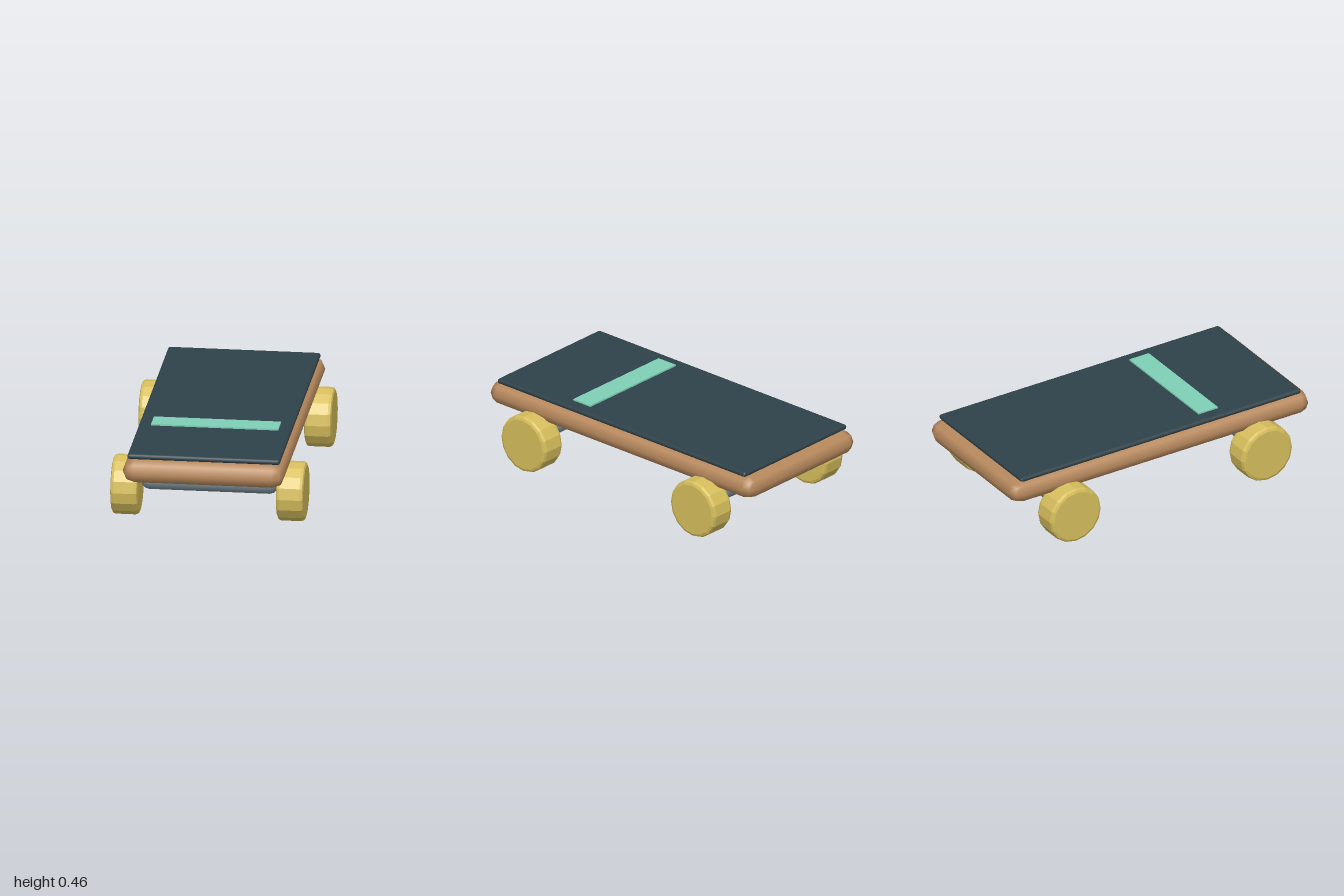
import * as THREE from 'three';
import { RoundedBoxGeometry } from 'three/addons/geometries/RoundedBoxGeometry.js';

const material = (name, color) => {
  const m = new THREE.MeshStandardMaterial({ color });
  m.name = name;
  return m;
};

// Solid of revolution along x, with rounded rims
function roundedCylinder(radius, length, bevel, steps, sides, flat) {
  const half = length / 2;
  const points = [new THREE.Vector2(0, -half)];
  for (const side of [-1, 1]) {
    for (let i = 0; i <= steps; i++) {
      const t = (side < 0 ? i : steps - i) / steps * Math.PI / 2;
      points.push(new THREE.Vector2(
        radius - bevel + bevel * Math.sin(t),
        side * (half - bevel + bevel * Math.cos(t))));
    }
  }
  points.push(new THREE.Vector2(0, half));
  let geometry = new THREE.LatheGeometry(points, sides);
  geometry.rotateZ(-Math.PI / 2);
  if (flat) {
    geometry = geometry.toNonIndexed();
    geometry.computeVertexNormals();
  }
  return geometry;
}

export function createModel() {
  const model = new THREE.Group();
  model.name = 'skateboard';

  const wood = material('wood', 0xb98a5e);
  const gripDark = material('dark grip', 0x2f4249);
  const mint = material('mint', 0x7fcfb5);
  const metal = material('grey metal', 0x7c8e98);
  const yellow = material('yellow wheel', 0xd6be5c);

  const add = (name, geometry, mat, x, y, z) => {
    const mesh = new THREE.Mesh(geometry, mat);
    mesh.name = name;
    mesh.position.set(x, y, z);
    model.add(mesh);
  };

  // Board, grip sheet and stripe
  add('deck', new RoundedBoxGeometry(0.92, 0.136, 2, 1, 0.067), wood, 0, 0.353, 0);
  add('gripSheet', new RoundedBoxGeometry(0.87, 0.03, 1.88, 1, 0.0145), gripDark, 0, 0.435, 0);
  add('stripe', new THREE.BoxGeometry(0.724, 0.009, 0.13), mint, 0, 0.4545, 0.36);

  // Axles with a wheel at each end
  const axle = roundedCylinder(0.067, 0.776, 0.045, 3, 24, false);
  const wheel = roundedCylinder(0.17, 0.155, 0.02, 2, 16, true);
  for (const [end, z] of [['front', 0.642], ['back', -0.642]]) {
    add(end + 'Axle', axle, metal, 0, 0.217, z);
    for (const [side, sx] of [['Left', 1], ['Right', -1]]) {
      add(end + side + 'Wheel', wheel, yellow, sx * 0.4715, 0.17, z);
    }
  }
  return model;
}
